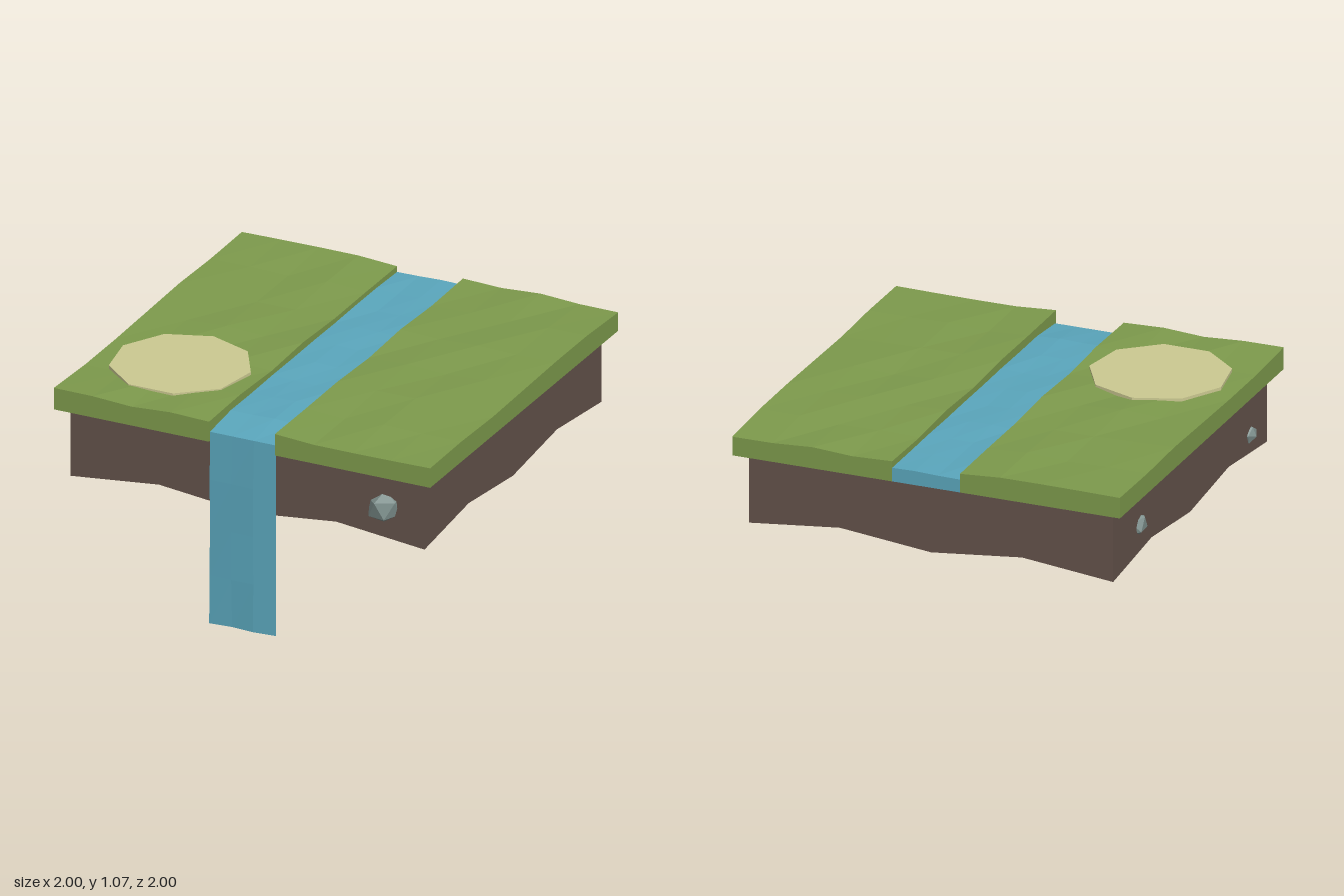
import * as THREE from 'three';

const material = (color) =>
  new THREE.MeshStandardMaterial({ color, flatShading: true, side: THREE.DoubleSide });

// Repeatable value in -1..1 for a grid position
function noise(x, z) {
  const s = Math.sin(x * 12.99 + z * 78.23) * 437.58;
  return (s - Math.floor(s)) * 2 - 1;
}

// Reshape every vertex with rule(point)
function reshape(geometry, rule) {
  const pos = geometry.attributes.position;
  const p = new THREE.Vector3();
  for (let i = 0; i < pos.count; i++) {
    rule(p.fromBufferAttribute(pos, i));
    pos.setXYZ(i, p.x, p.y, p.z);
  }
  geometry.computeVertexNormals();
  return geometry;
}

// Box without the listed sides (0 +x, 1 -x, 2 top, 3 bottom, 4 +z, 5 -z)
function openBox(w, h, d, sx, sz, omit) {
  const box = new THREE.BoxGeometry(w, h, d, sx, 1, sz);
  const index = Array.from(box.index.array);
  const kept = box.groups.flatMap((g, i) =>
    omit.includes(i) ? [] : index.slice(g.start, g.start + g.count));
  box.setIndex(kept);
  box.clearGroups();
  return box;
}

export function createModel() {
  const group = new THREE.Group();
  const add = (name, geometry, mat) => {
    const mesh = new THREE.Mesh(geometry, mat);
    mesh.name = name;
    group.add(mesh);
    return mesh;
  };
  const grass = material(0x7d9a4c);
  const water = material(0x5aa6bc);
  const rock = material(0x7f918e);

  // Hollow earth block, open below, with wavy rims
  const half = 0.94;
  const near = (v, t) => Math.abs(Math.abs(v) - t) < 0.01;
  add('earth', reshape(openBox(half * 2, 1, half * 2, 4, 4, [3]), (p) => {
    const raised = (near(p.x, half) && near(p.z, half / 2)) || (near(p.z, half) && near(p.x, half / 2));
    const corner = near(p.x, half) && near(p.z, half);
    if (p.y > 0) p.y = raised ? 0.925 : corner ? 0.95 : 0.96;
    else p.y = raised ? 0.64 : 0.59;
  }), material(0x63524a));

  // Two turf slabs, open below, with uneven tops
  const bank = 0.175;
  for (const side of [-1, 1]) {
    const geometry = openBox(1 - bank, 1, 2, 4, 6, [3]);
    geometry.translate(side * (1 + bank) / 2, 0, 0);
    add(side < 0 ? 'rightTurf' : 'leftTurf', reshape(geometry, (p) => {
      p.y = p.y > 0 ? 1.054 + 0.009 * noise(Math.round(p.x * 20), Math.round(p.z * 3)) : 0.95;
    }), grass);
  }

  // Sandy nine-sided patch
  const sand = add('sandPatch', new THREE.CylinderGeometry(0.345, 0.345, 0.03, 9, 1, false, Math.PI),
    material(0xcbc991));
  sand.position.set(-0.58, 1.05, 0.485);

  // Stream surface, dipping at the front lip, with a skirt at the back
  const stream = openBox(bank * 2, 1, 1.99, 3, 9, [0, 1, 3, 4]);
  stream.translate(0, 0, -0.005);
  add('stream', reshape(stream, (p) => {
    if (p.y < 0) p.y = 0.95;
    else p.y = p.z > 0.95 ? 0.998 : 1.02 + 0.004 * noise(Math.round(p.x * 20), Math.round(p.z * 9));
  }), water);

  // Waterfall sheet with slight ripples
  const fall = new THREE.PlaneGeometry(bank * 2, 0.998, 3, 4);
  fall.translate(0, 0.499, 0.99);
  add('waterfall', reshape(fall, (p) => {
    if (p.y < 0.95) p.z = 0.993 + 0.006 * noise(Math.round(p.x * 20), Math.round(p.y * 10));
  }), water);

  // Stones set into the earth walls
  const stones = [
    { at: [0.72, 0.76, 0.92], size: [0.1, 0.08, 0.07], tilt: 0.6 },
    { at: [-0.91, 0.75, -0.6], size: [0.06, 0.065, 0.08], tilt: 0.3 },
    { at: [-0.925, 0.7, 0.74], size: [0.045, 0.045, 0.055], tilt: 1.1 },
  ];
  stones.forEach(({ at, size, tilt }, i) => {
    const geometry = reshape(new THREE.IcosahedronGeometry(1, 0), (p) =>
      p.multiplyScalar(1 + 0.12 * noise(Math.round(p.x * 10) + i, Math.round(p.y * 10 + p.z * 30))));
    const stone = add('stone', geometry, rock);
    stone.position.set(...at);
    stone.scale.set(...size);
    stone.rotation.z = tilt;
  });

  return group;
}
